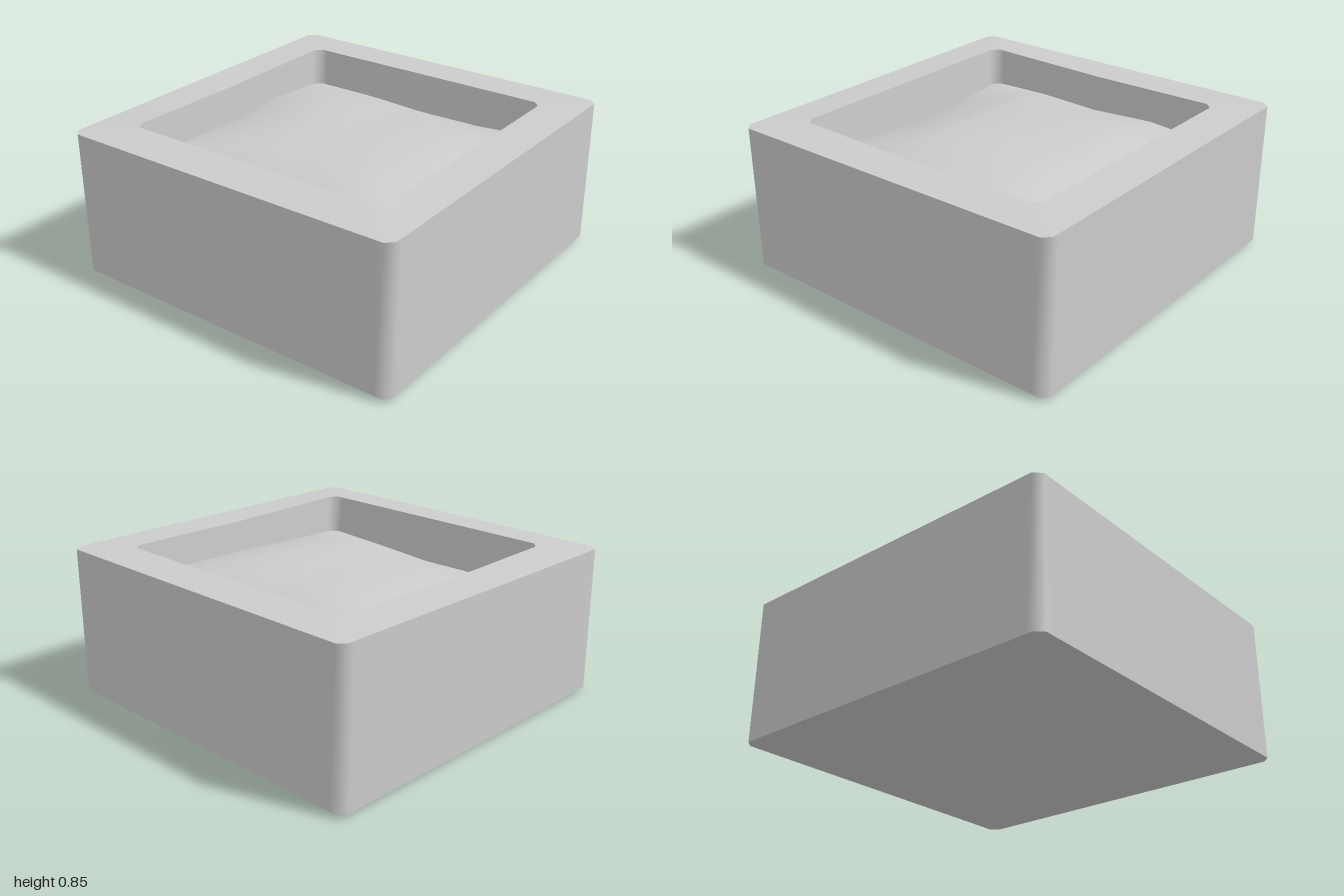
import * as THREE from 'three';
import { toCreasedNormals } from 'three/addons/utils/BufferGeometryUtils.js';

const STEPS = [-1, -0.96, -0.5, 0, 0.5, 0.96, 1];
const { lerp, clamp } = THREE.MathUtils;

// Square ring with small chamfered corners, running from the front round to the left side.
function ring(half, corner, heightAt, backBow = 0) {
  const points = [];
  for (let side = 0; side < 4; side++) {
    const a = side * Math.PI / 2, c = Math.cos(a), s = Math.sin(a);
    for (const t of STEPS) {
      const bow = side === 2 ? backBow * Math.max(0, 1 - Math.abs(t) * 2) : 0;
      const u = t * (half - corner), v = half - bow;
      const x = u * c + v * s, z = v * c - u * s;
      points.push([x, heightAt(x, z), z]);
    }
  }
  return points;
}

// Joins consecutive rings with quads.
function skin(rings) {
  const n = rings[0].length, index = [];
  for (let r = 0; r < rings.length - 1; r++) {
    for (let i = 0; i < n; i++) {
      const a = r * n + i, b = r * n + (i + 1) % n;
      index.push(a, b, b + n, a, b + n, a + n);
    }
  }
  const g = new THREE.BufferGeometry();
  g.setAttribute('position', new THREE.Float32BufferAttribute(rings.flat(2), 3));
  g.setIndex(index);
  return toCreasedNormals(g, 0.9);
}

// Soil base heights: rows run back to front, columns run from -x to +x.
const SOIL = [
  [0.63, 0.63, 0.62, 0.62, 0.65],
  [0.655, 0.65, 0.64, 0.65, 0.665],
  [0.63, 0.64, 0.64, 0.65, 0.66],
  [0.64, 0.63, 0.63, 0.64, 0.64],
  [0.63, 0.59, 0.585, 0.61, 0.63],
];

// Base heights plus a broad mound that falls away towards the walls; x and z run -1 to 1.
function soilHeight(x, z) {
  const u = (x + 1) * 2, v = (z + 1) * 2;
  const i = Math.min(3, Math.floor(u)), j = Math.min(3, Math.floor(v));
  const back = lerp(SOIL[j][i], SOIL[j][i + 1], u - i);
  const front = lerp(SOIL[j + 1][i], SOIL[j + 1][i + 1], u - i);
  const mound = 0.09 * (1 - Math.abs(x) ** 3) * (1 - Math.abs(z) ** 2.5);
  return lerp(back, front, v - j) + mound;
}

export function createModel() {
  const group = new THREE.Group();
  const material = new THREE.MeshStandardMaterial({ color: 0xcccccc, side: THREE.DoubleSide });

  // Thick-walled box: slightly domed underside, outer walls, sloping rim and inner walls
  const outerTop = (x, z) => 0.836 - 0.006 * z;
  const innerTop = (x, z) => 0.839 + 0.009 * Math.abs(z) / 0.77;
  const box = new THREE.Mesh(skin([
    ring(0, 0, () => 0),
    ring(0.7, 0.03, () => 0.003),
    ring(1, 0.04, () => 0.022),
    ring(1, 0.04, outerTop),
    ring(0.773, 0.04, innerTop),
    ring(0.758, 0.04, () => 0.53, 0.045),
  ]), material);
  box.name = 'planterBox';
  group.add(box);

  // Mounded, uneven soil filling the opening
  const half = 0.77;
  const soilGeometry = new THREE.PlaneGeometry(half * 2, half * 2, 32, 32).rotateX(-Math.PI / 2);
  const p = soilGeometry.attributes.position;
  for (let i = 0; i < p.count; i++) {
    p.setY(i, soilHeight(clamp(p.getX(i) / half, -1, 1), clamp(p.getZ(i) / half, -1, 1)));
  }
  soilGeometry.computeVertexNormals();
  const soil = new THREE.Mesh(soilGeometry, material);
  soil.name = 'soil';
  group.add(soil);

  return group;
}
